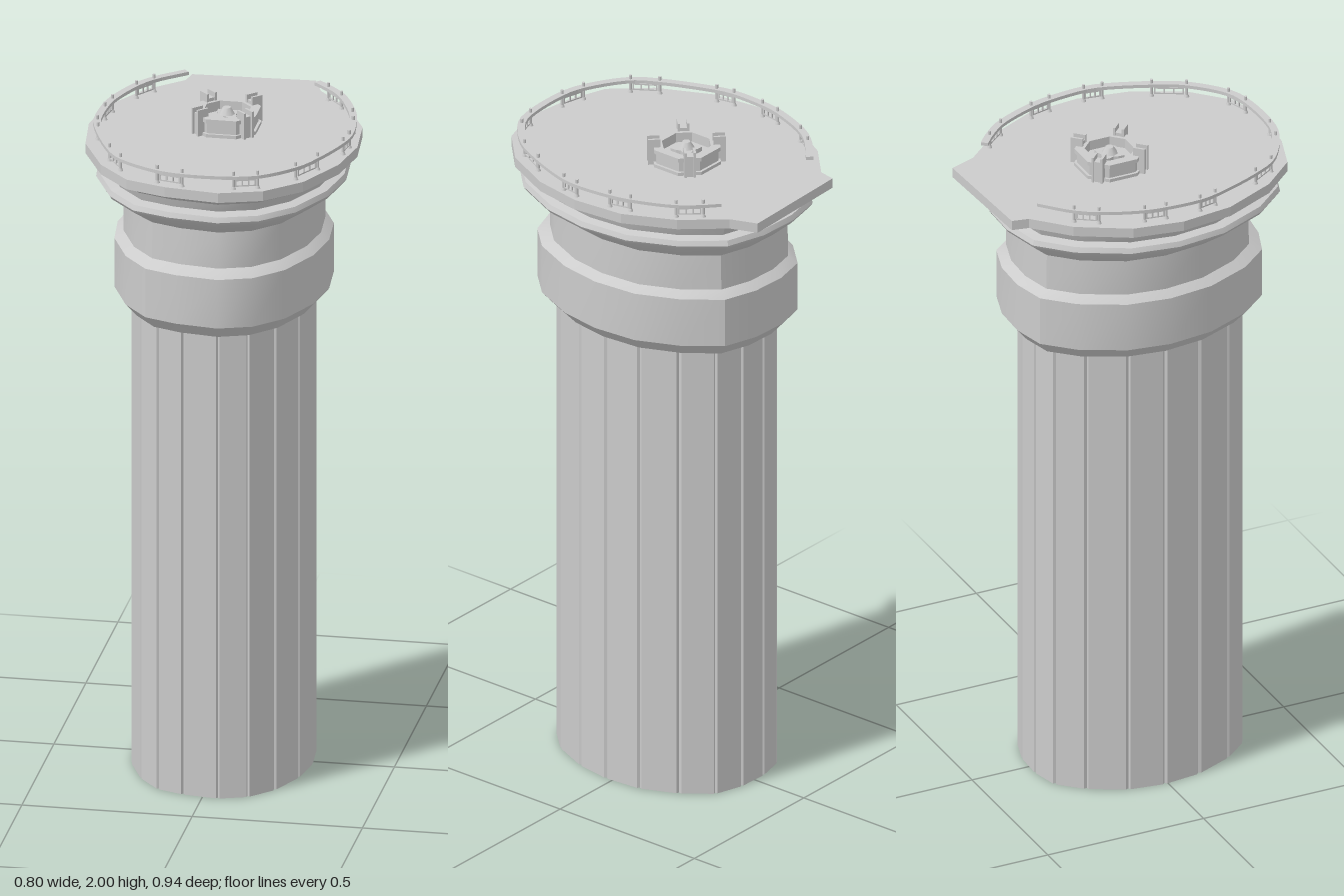
import * as THREE from 'three';
import { toCreasedNormals } from 'three/addons/utils/BufferGeometryUtils.js';

const material = new THREE.MeshStandardMaterial({ color: 0xcccccc, side: THREE.DoubleSide });

// Uneven oval plan [x, z], shared by every tier of the column
const OVAL = [
  [0.21, -0.395], [0.31, -0.28], [0.382, -0.13], [0.397, 0.03], [0.37, 0.18], [0.295, 0.335],
  [0.195, 0.43], [0.07, 0.47], [-0.09, 0.45], [-0.21, 0.41], [-0.305, 0.305], [-0.38, 0.145],
  [-0.4, -0.015], [-0.375, -0.165], [-0.29, -0.315], [-0.19, -0.41], [-0.06, -0.437], [0.08, -0.432],
];
// Plan points, clockwise seen from above, of the rail posts
const POSTS = [
  [0.245, -0.325], [0.295, -0.265], [0.35, -0.14], [0.365, -0.075], [0.375, 0.04], [0.367, 0.095],
  [0.318, 0.23], [0.27, 0.32], [0.175, 0.408], [0.108, 0.43], [-0.042, 0.435], [-0.118, 0.417],
  [-0.24, 0.342], [-0.286, 0.27], [-0.35, 0.11], [-0.362, 0.055], [-0.36, -0.052], [-0.35, -0.117],
  [-0.303, -0.24], [-0.262, -0.3],
];

function add(parent, name, geometry, x = 0, y = 0, z = 0) {
  const mesh = new THREE.Mesh(geometry, material);
  mesh.name = name;
  mesh.position.set(x, y, z);
  parent.add(mesh);
  return mesh;
}

// Scale the oval to half width hx and to the depth zBack..zFront
function fit(plan, hx, zFront, zBack) {
  const mid = (zFront + zBack) / 2, hz = (zFront - zBack) / 2;
  return plan.map(([x, z]) => [x / 0.4 * hx, mid + (z - 0.0165) / 0.4535 * hz]);
}

// Skin closed cross-sections, listed from bottom to top as { y, plan }
function loft(rows, crease) {
  const n = rows[0].plan.length, pos = [], index = [];
  rows.forEach(({ y, plan }) => plan.forEach(([x, z]) => pos.push(x, y, z)));
  for (let r = 0; r < rows.length - 1; r++) {
    for (let i = 0; i < n; i++) {
      const a = r * n + i, b = r * n + (i + 1) % n;
      index.push(a, a + n, b, b, a + n, b + n);
    }
  }
  const g = new THREE.BufferGeometry();
  g.setAttribute('position', new THREE.Float32BufferAttribute(pos, 3));
  g.setIndex(index);
  return toCreasedNormals(g, crease);
}

// Flat slab from a plan outline, with an optional hole
function slab(plan, y0, y1, hole) {
  const pts = (p) => p.map(([x, z]) => new THREE.Vector2(x, -z));
  const shape = new THREE.Shape(pts(plan));
  if (hole) shape.holes.push(new THREE.Path(pts(hole)));
  return new THREE.ExtrudeGeometry(shape, { depth: y1 - y0, bevelEnabled: false })
    .rotateX(-Math.PI / 2).translate(0, y0, 0);
}

function buildShaft(parent) {
  // Flat panels parted by narrow recessed strips
  const plan = [];
  OVAL.forEach((p, i) => {
    const q = OVAL[(i + 1) % OVAL.length];
    const mix = (t) => [p[0] + (q[0] - p[0]) * t, p[1] + (q[1] - p[1]) * t];
    plan.push([p[0] * 0.975, p[1] * 0.975], mix(0.06), mix(0.94));
  });
  const section = fit(plan, 0.266, 0.345, -0.318);
  add(parent, 'shaft', loft([{ y: 0, plan: section }, { y: 1.44, plan: section }], 0.1));
}

function buildCapital(parent) {
  // y, half width, front z, back z
  const profile = [
    [1.435, 0.25, 0.325, -0.3], [1.435, 0.28, 0.365, -0.345], [1.475, 0.315, 0.402, -0.378],
    [1.625, 0.315, 0.402, -0.378], [1.645, 0.29, 0.362, -0.35], [1.755, 0.29, 0.358, -0.348],
    [1.81, 0.362, 0.445, -0.41], [1.82, 0.368, 0.452, -0.416], [1.835, 0.362, 0.446, -0.41],
    [1.84, 0.335, 0.41, -0.38], [1.865, 0.345, 0.42, -0.39], [1.895, 0.392, 0.462, -0.43],
  ];
  const rows = profile.map(([y, hx, zf, zb]) => ({ y, plan: fit(OVAL, hx, zf, zb) }));
  add(parent, 'capital', loft(rows, 0.5));
}

function buildPlatform(parent) {
  // The back end widens into a straight landing
  const plan = [...OVAL.slice(0, 16), [-0.18, -0.46], [0.18, -0.475]];
  add(parent, 'platform', slab(plan, 1.89, 1.92));
}

function buildRailing(parent) {
  const railing = new THREE.Group();
  railing.name = 'railing';
  parent.add(railing);

  // Handrail: a flat strip along the line of posts
  const path = [[0.206, -0.36], ...POSTS, [-0.18, -0.375]].map(([x, z]) => new THREE.Vector3(x, 0, z));
  const curve = new THREE.CatmullRomCurve3(path);
  const outer = [], inner = [];
  for (let i = 0; i <= 70; i++) {
    const p = curve.getPointAt(i / 70), t = curve.getTangentAt(i / 70);
    outer.push([p.x + t.z * 0.011, p.z - t.x * 0.011]);
    inner.unshift([p.x - t.z * 0.011, p.z + t.x * 0.011]);
  }
  add(railing, 'handrail', slab([...outer, ...inner], 1.953, 1.963));

  // Posts with round feet
  for (const [x, z] of POSTS) {
    add(railing, 'post', new THREE.CylinderGeometry(0.0045, 0.0045, 0.055, 8), x, 1.9475, z);
    add(railing, 'postFoot', new THREE.CylinderGeometry(0.005, 0.008, 0.008, 8), x, 1.924, z);
  }

  // Open panels between each pair of posts
  for (let i = 0; i < POSTS.length; i += 2) {
    const [ax, az] = POSTS[i], [bx, bz] = POSTS[i + 1];
    const length = Math.hypot(bx - ax, bz - az);
    const panel = new THREE.Group();
    panel.name = 'railPanel';
    panel.position.set((ax + bx) / 2, 0, (az + bz) / 2);
    panel.rotation.y = -Math.atan2(bz - az, bx - ax);
    railing.add(panel);
    for (const y of [1.93, 1.947]) add(panel, 'panelBar', new THREE.BoxGeometry(length * 0.8, 0.004, 0.004), 0, y, 0);
    for (const s of [-0.4, -0.13, 0.13, 0.4]) {
      add(panel, 'panelUpright', new THREE.BoxGeometry(0.004, 0.021, 0.004), s * length, 1.9385, 0);
    }
  }
}

function buildCentrepiece(parent) {
  const piece = new THREE.Group();
  piece.name = 'centrepiece';
  piece.position.set(-0.003, 0, -0.06);
  parent.add(piece);

  // Eight-sided parapet, with corners a and cut b
  const octagon = (a, b) => [[a, -b], [a, b], [b, a], [-b, a], [-a, b], [-a, -b], [-b, -a], [b, -a]];
  const wall = octagon(0.085, 0.042), inside = octagon(0.065, 0.032);
  add(piece, 'plinth', slab(octagon(0.093, 0.044), 1.92, 1.93));
  add(piece, 'parapet', slab(wall, 1.93, 1.963, inside));
  add(piece, 'parapetRim', slab(octagon(0.092, 0.044), 1.963, 1.975, inside));
  add(piece, 'floor', slab(inside, 1.93, 1.945));

  // Low cross-shaped stand in the middle
  const star = [];
  for (let i = 0; i < 16; i++) {
    const a = i * Math.PI / 8, r = [0.026, 0.034, 0.046, 0.034][i % 4];
    star.push([Math.cos(a) * r, Math.sin(a) * r]);
  }
  add(piece, 'stand', slab(star, 1.945, 1.962));
  add(piece, 'standTop', new THREE.CylinderGeometry(0.012, 0.024, 0.02, 8), 0, 1.972, 0);

  // Corner brackets, each a pair of fins around a block
  for (let i = 0; i < 4; i++) {
    const bracket = new THREE.Group();
    bracket.name = 'cornerBracket';
    bracket.rotation.y = Math.PI / 4 + i * Math.PI / 2;
    piece.add(bracket);
    add(bracket, 'bracketBlock', new THREE.BoxGeometry(0.028, 0.065, 0.02), 0.093, 1.9525, 0);
    for (const s of [-1, 1]) {
      add(bracket, 'bracketFin', new THREE.BoxGeometry(0.036, 0.08, 0.007), 0.095, 1.96, s * 0.0135);
    }
  }
}

export function createModel() {
  const model = new THREE.Group();
  model.name = 'column';
  buildShaft(model);
  buildCapital(model);
  buildPlatform(model);
  buildRailing(model);
  buildCentrepiece(model);
  return model;
}
